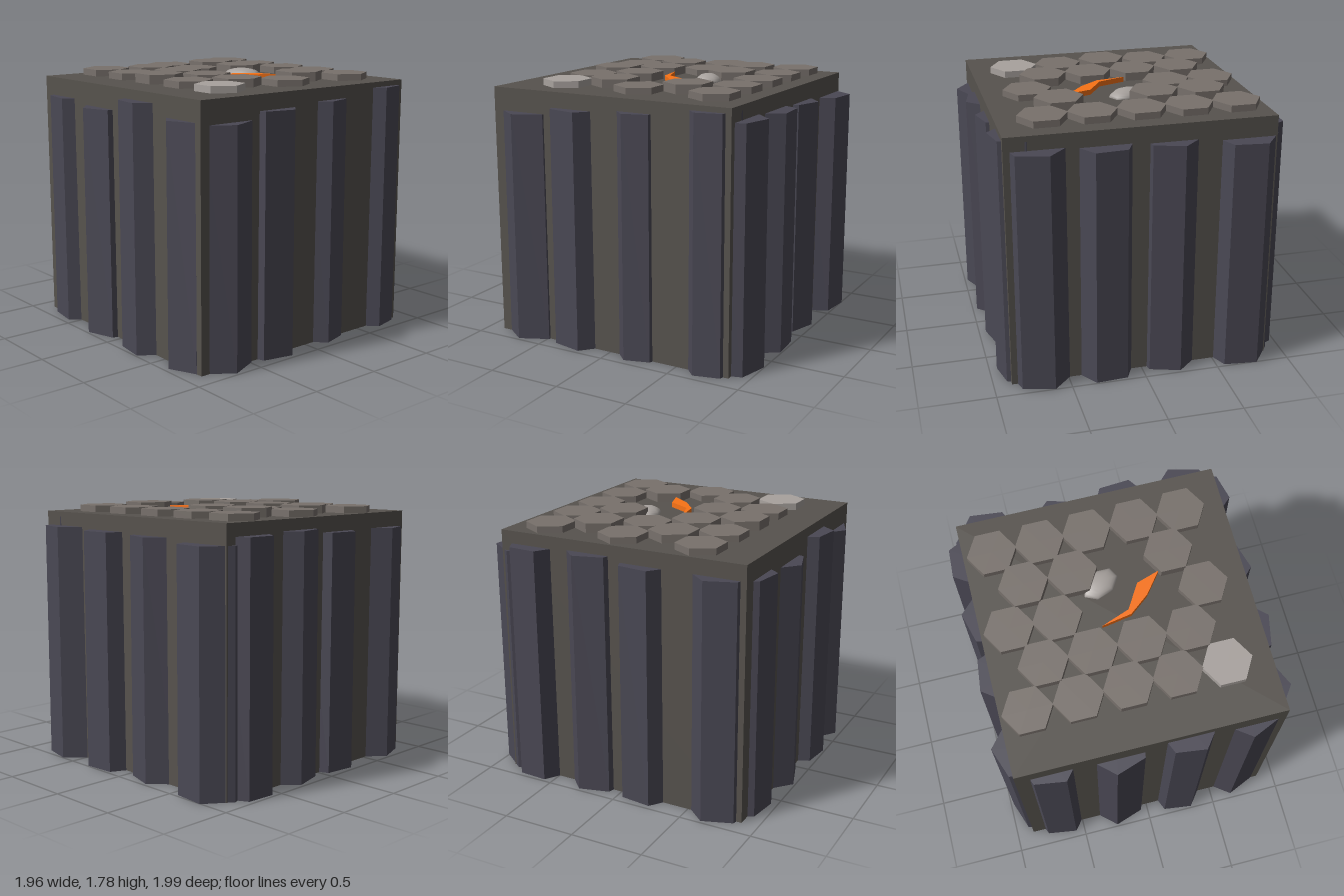
import * as THREE from 'three';

const mat = (color, flatShading = true) =>
  new THREE.MeshStandardMaterial({ color, flatShading, side: THREE.DoubleSide });

// Upright prism with a closed top and open base; one flat side faces the given angle
function prism(name, sides, radius, height, facing, material, taper = 1) {
  const profile = [[radius * taper, 0], [radius, height], [0, height]].map(p => new THREE.Vector2(...p));
  const mesh = new THREE.Mesh(new THREE.LatheGeometry(profile, sides), material);
  mesh.rotation.y = facing - Math.PI / sides;
  mesh.name = name;
  return mesh;
}

export function createModel() {
  const model = new THREE.Group();
  const blockMat = mat(0x57534e), columnMat = mat(0x4a4854);
  const tileMat = mat(0x78716c), paleMat = mat(0xa8a29e);
  const top = 1.715;

  // Hollow square block, open underneath
  const block = prism('block', 4, 0.88 * Math.SQRT2, top, 0, blockMat);
  block.position.z = 0.005;
  model.add(block);

  // Hexagonal columns along the walls: x, z, radius, height, outward x, outward z
  const columns = [
    // front
    [-0.64, 0.76, 0.207, 1.59, -0.15, 0.99], [-0.206, 0.78, 0.208, 1.56, 0.31, 0.95],
    [0.25, 0.80, 0.2, 1.65, -0.13, 0.99], [0.67, 0.765, 0.2, 1.575, 0.4, 0.92],
    // left
    [0.77, 0.66, 0.208, 1.56, 0.91, -0.41], [0.767, 0.267, 0.21, 1.61, 0.98, 0.21],
    [0.78, -0.19, 0.175, 1.63, 0.96, -0.27], [0.775, -0.705, 0.178, 1.68, 0.97, -0.23],
    // back
    [-0.688, -0.80, 0.22, 1.58, 0.11, -0.99], [-0.2, -0.775, 0.205, 1.6, 0.3, -0.95],
    [0.24, -0.80, 0.21, 1.61, -0.07, -1], [0.67, -0.79, 0.213, 1.62, 0.245, -0.97],
    // right
    [-0.80, -0.65, 0.195, 1.63, -1, -0.06], [-0.77, -0.225, 0.21, 1.64, -0.97, 0.26],
    [-0.77, 0.168, 0.21, 1.61, -1, -0.12], [-0.77, 0.68, 0.21, 1.61, -0.945, 0.33],
  ];
  const columnGroup = new THREE.Group();
  columnGroup.name = 'columns';
  for (const [x, z, r, h, nx, nz] of columns) {
    const column = prism('column', 6, r, h, Math.atan2(nx, nz), columnMat, 1.015);
    column.position.set(x, 0, z);
    columnGroup.add(column);
  }
  model.add(columnGroup);

  // Staggered hexagonal paving with a gap in the middle: z, tile heights, x of tiles
  const rows = [
    [-0.61, 0.045, [-0.69, -0.37, -0.055, 0.265, 0.585]],
    [-0.335, 0.062, [-0.54, -0.215, 0.425]],
    [-0.06, 0.043, [-0.695, -0.38, 0.585]],
    [0.22, 0.056, [-0.535, -0.215, 0.105, 0.425]],
    [0.495, 0.045, [-0.7, -0.375, -0.055, 0.265, 0.585]],
  ];
  const paving = new THREE.Group();
  paving.name = 'paving';
  rows.forEach(([z, h, xs], row) => xs.forEach((x, i) => {
    const pale = row === 4 && i === 4;
    const height = row === 4 && i === 2 ? 0.062 : h;
    const tile = prism(pale ? 'paleTile' : 'tile', 6, 0.164, height, 0, pale ? paleMat : tileMat);
    tile.position.set(x, top, z);
    paving.add(tile);
  }));
  model.add(paving);

  // Smooth half-buried stone in the gap
  const stone = new THREE.Mesh(
    new THREE.SphereGeometry(1, 7, 6, 0, Math.PI * 2, 0, Math.PI / 2), mat(0xa8a29e, false));
  stone.name = 'stone';
  stone.scale.set(0.135, 0.05, 0.09);
  stone.rotation.y = 0.5;
  stone.position.set(-0.055, top, -0.235);
  model.add(stone);

  // Curved orange sliver
  const outline = [[-0.115, 0.065], [0.085, 0.03], [0.217, -0.075], [0.33, -0.22], [0.175, -0.17], [0.075, -0.005]];
  const shape = new THREE.Shape(outline.map(([x, z]) => new THREE.Vector2(x, -z)));
  const sliver = new THREE.Mesh(
    new THREE.ExtrudeGeometry(shape, { depth: 0.035, bevelEnabled: false }).rotateX(-Math.PI / 2), mat(0xf97316));
  sliver.name = 'sliver';
  sliver.position.y = top;
  model.add(sliver);

  return model;
}
